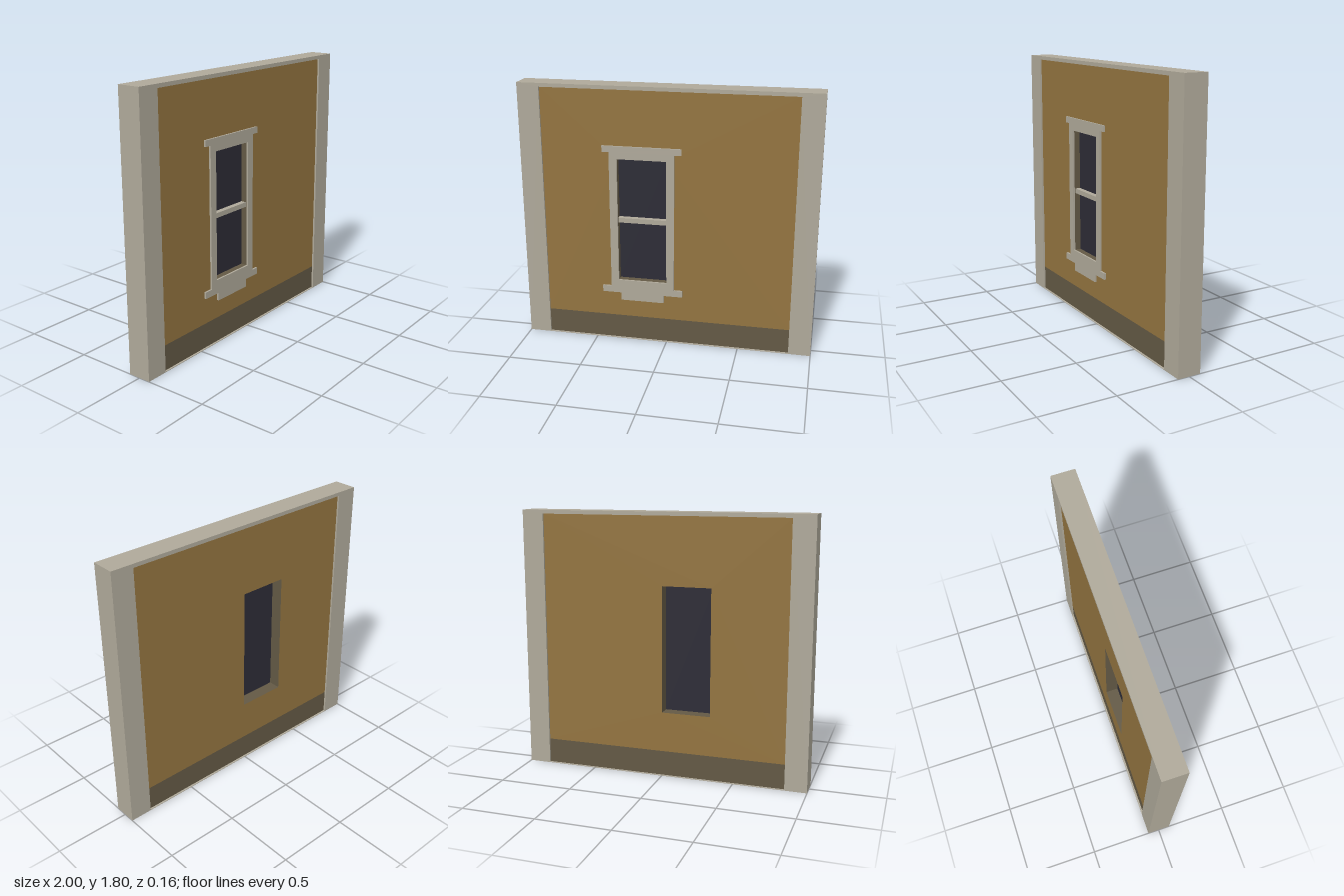
import * as THREE from 'three';

const material = (name, color) => {
  const m = new THREE.MeshStandardMaterial({ color });
  m.name = name;
  return m;
};

export function createModel() {
  const model = new THREE.Group();
  model.name = 'wallWithWindow';
  const stone = material('pale stone', 0xafa99a);
  const plaster = material('ochre plaster', 0x937440);
  const skirting = material('dark olive', 0x635945);
  const glass = material('dark glass', 0x2d2c36);

  const DEPTH = 0.08;   // half thickness of the outer frame
  const PANEL = 0.067;  // half thickness of the recessed wall

  const add = (name, geometry, mat) => {
    const mesh = new THREE.Mesh(geometry, mat);
    mesh.name = name;
    model.add(mesh);
    return mesh;
  };
  // Box given by its limits on each axis
  const box = (name, mat, x0, x1, y0, y1, z0, z1) => {
    const g = new THREE.BoxGeometry(x1 - x0, y1 - y0, z1 - z0);
    g.translate((x0 + x1) / 2, (y0 + y1) / 2, (z0 + z1) / 2);
    return add(name, g, mat);
  };
  const outline = (points) => points.map(([x, y]) => new THREE.Vector2(x, y));
  const rect = (x0, x1, y0, y1) => outline([[x0, y0], [x1, y0], [x1, y1], [x0, y1]]);
  const slab = (points, hole, z0, z1) => {
    const shape = new THREE.Shape(points);
    shape.holes.push(new THREE.Path(hole));
    const g = new THREE.ExtrudeGeometry(shape, { depth: z1 - z0, bevelEnabled: false });
    return g.translate(0, 0, z0);
  };

  // Outer frame, one shape around the recessed panel
  const opening = rect(-0.85, 0.85, 0.004, 1.775);
  add('outerFrame', slab(rect(-1, 1, 0, 1.8), opening, -DEPTH, DEPTH), stone);

  // Recessed wall with the window opening, and the skirting below it
  const windowHole = rect(-0.335, 0, 0.45, 1.315);
  add('wallPanel', slab(rect(-0.85, 0.85, 0.175, 1.775), windowHole, -PANEL, PANEL), [plaster, skirting]);
  box('skirting', skirting, -0.85, 0.85, 0.004, 0.175, -PANEL, PANEL);

  // Window surround: jambs, head with ears, sill and apron
  const surround = outline([
    [-0.32, 0.3], [-0.02, 0.3], [-0.02, 0.355], [0.11, 0.355], [0.11, 0.4],
    [0.052, 0.4], [0.052, 1.36], [0.1, 1.36], [0.1, 1.402], [-0.435, 1.402],
    [-0.435, 1.36], [-0.388, 1.36], [-0.388, 0.4], [-0.45, 0.4], [-0.45, 0.355], [-0.32, 0.355],
  ]);
  add('windowSurround', slab(surround, windowHole, PANEL, DEPTH), stone);

  // Glass and the rail across it
  box('windowGlass', glass, -0.335, 0, 0.45, 1.315, 0.017, 0.025);
  box('windowRail', stone, -0.335, 0, 0.867, 0.9, 0.025, 0.062);

  return model;
}
